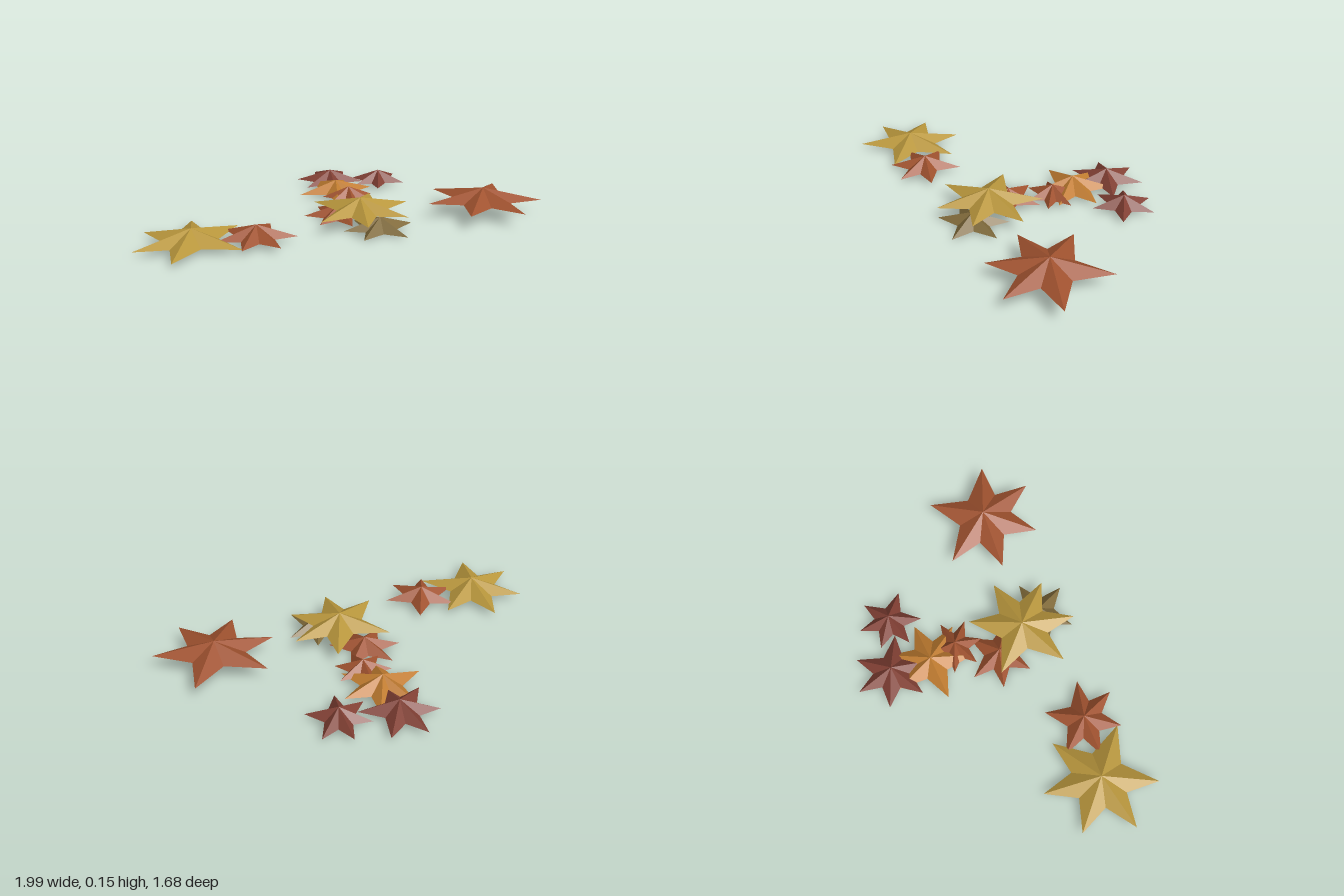
import * as THREE from 'three';

const material = (name, color) =>
  new THREE.MeshStandardMaterial({ name, color, flatShading: true, side: THREE.DoubleSide });

// Leaf outline: [angle in degrees, radius], alternating tips and notches
const OUTLINE = [
  [0, 0.98], [36, 0.44], [73, 1], [99, 0.5], [125, 1], [152, 0.5],
  [180, 0.97], [208, 0.5], [235, 1], [261, 0.5], [287, 1], [324, 0.44],
];
const HEIGHT = 0.067;

// Open, shallow star: a fan of flat facets from a raised centre
function leafGeometry(radius, turn) {
  const rim = OUTLINE.map(([angle, r]) => {
    const a = THREE.MathUtils.degToRad(angle + turn);
    return [Math.cos(a) * r * radius, 0, Math.sin(a) * r * radius];
  });
  const points = [];
  rim.forEach((p, i) => {
    points.push(0, HEIGHT, 0, ...rim[(i + 1) % rim.length], ...p);
  });
  const geometry = new THREE.BufferGeometry();
  geometry.setAttribute('position', new THREE.Float32BufferAttribute(points, 3));
  geometry.computeVertexNormals();
  return geometry;
}

export function createModel() {
  const rust = material('rust', 0xa0522f);
  const gold = material('gold', 0xb8963c);
  const orange = material('orange', 0xc07c30);
  const darkRed = material('dark red', 0x824034);
  const olive = material('olive brown', 0x806a3a);

  // name, material, x, base height, z, radius, direction of the main tip
  const leaves = [
    ['largeRustLeaf', rust, 0.68, 0.083, -0.25, 0.32, -82],
    ['largeGoldLeaf', gold, -0.71, 0.03, 0.535, 0.302, 13],
    ['centreGoldLeaf', gold, 0.048, 0.08, 0.043, 0.289, 196],
    ['frontRustLeaf', rust, -0.41, 0.03, 0.42, 0.208, -87],
    ['backDarkRedLeaf', darkRed, -0.267, 0.027, -0.62, 0.207, -6],
    ['smallDarkRedLeaf', darkRed, 0.021, 0.025, -0.684, 0.171, 7],
    ['orangeLeaf', orange, -0.187, 0.025, -0.422, 0.228, 147],
    ['smallRustLeaf', rust, -0.086, 0.027, -0.305, 0.15, 246],
    ['lowerRustLeaf', rust, -0.09, 0, -0.063, 0.193, 291],
    ['lowerOliveLeaf', olive, 0.17, 0.008, 0.125, 0.195, 32],
  ];

  const group = new THREE.Group();
  group.name = 'fallenLeaves';
  for (const [name, mat, x, y, z, radius, turn] of leaves) {
    const leaf = new THREE.Mesh(leafGeometry(radius, turn), mat);
    leaf.name = name;
    leaf.position.set(x, y, z);
    group.add(leaf);
  }
  return group;
}
